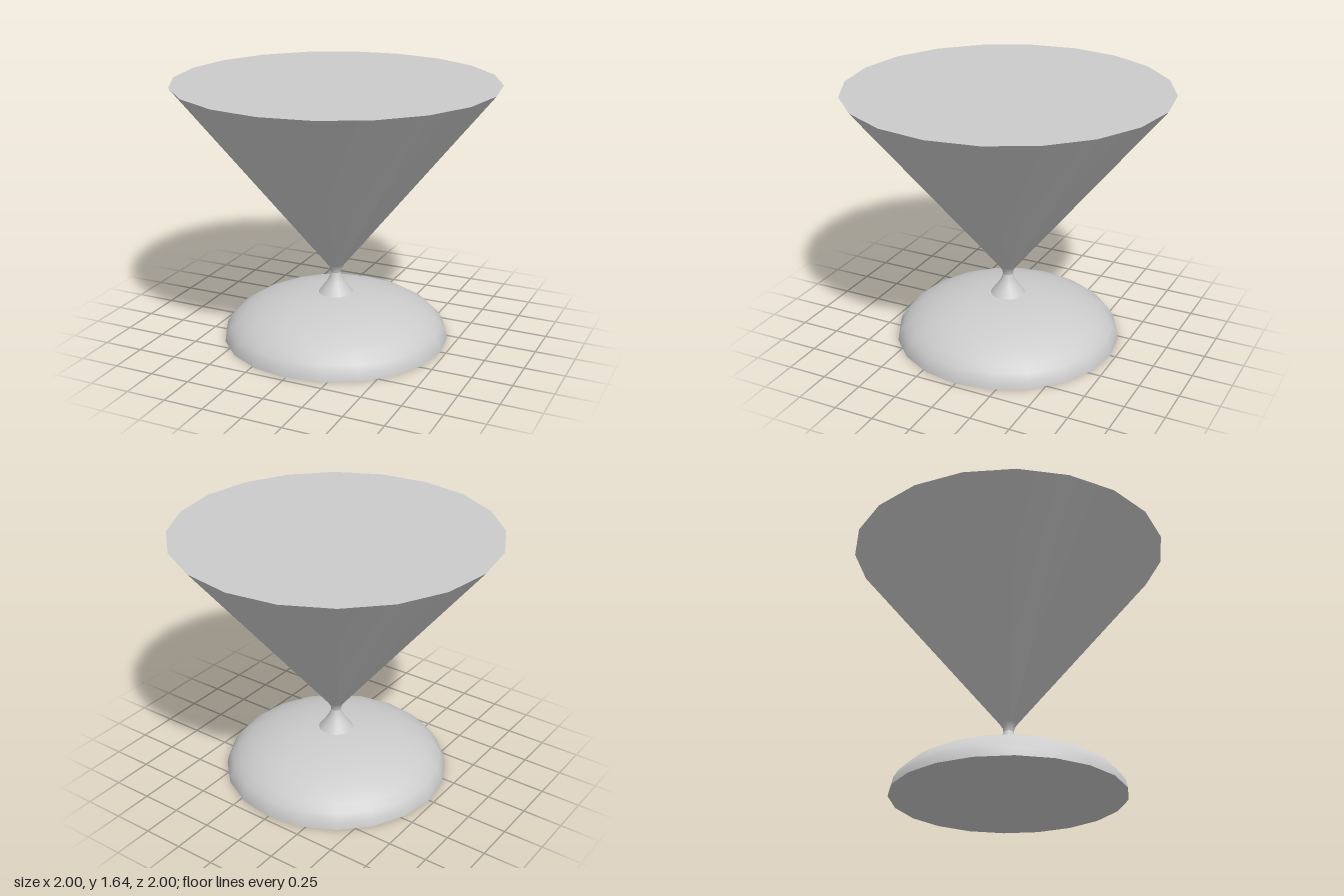
import * as THREE from 'three';

const SIDES = 20;

export function createModel() {
  const group = new THREE.Group();
  const material = new THREE.MeshStandardMaterial({ color: 0xcccccc });

  const add = (name, geometry, y = 0) => {
    const mesh = new THREE.Mesh(geometry, material);
    mesh.name = name;
    mesh.position.y = y;
    group.add(mesh);
    return mesh;
  };
  // Turned part from [radius, height] pairs, listed bottom to top
  const turned = (name, profile) =>
    add(name, new THREE.LatheGeometry(profile.map(([r, y]) => new THREE.Vector2(r, y)), SIDES));
  // Flat round cap lined up with the turned sides
  const cap = (name, radius, y, facing) => {
    const geometry = new THREE.CircleGeometry(radius, SIDES);
    geometry.rotateX(-facing * Math.PI / 2);
    return add(name, geometry, y);
  };

  // Domed foot: upper half of a flattened ellipsoid
  const dome = [];
  for (let i = 0; i <= 10; i++) {
    const a = (i / 10) * Math.PI / 2;
    dome.push([0.715 * Math.cos(a), 0.29 * Math.sin(a)]);
  }
  turned('foot', dome);
  cap('footUnderside', 0.715, 0, -1);

  // Short flared stem, pinched at the neck
  turned('stem', [[0.115, 0.28], [0.085, 0.32], [0.058, 0.357], [0.04, 0.39], [0.032, 0.42]]);

  // Conical bowl with a flat closed top
  turned('bowl', [[0.032, 0.42], [0.036, 0.445], [0.055, 0.475], [1, 1.645]]);
  cap('bowlTop', 1, 1.645, 1);

  return group;
}
